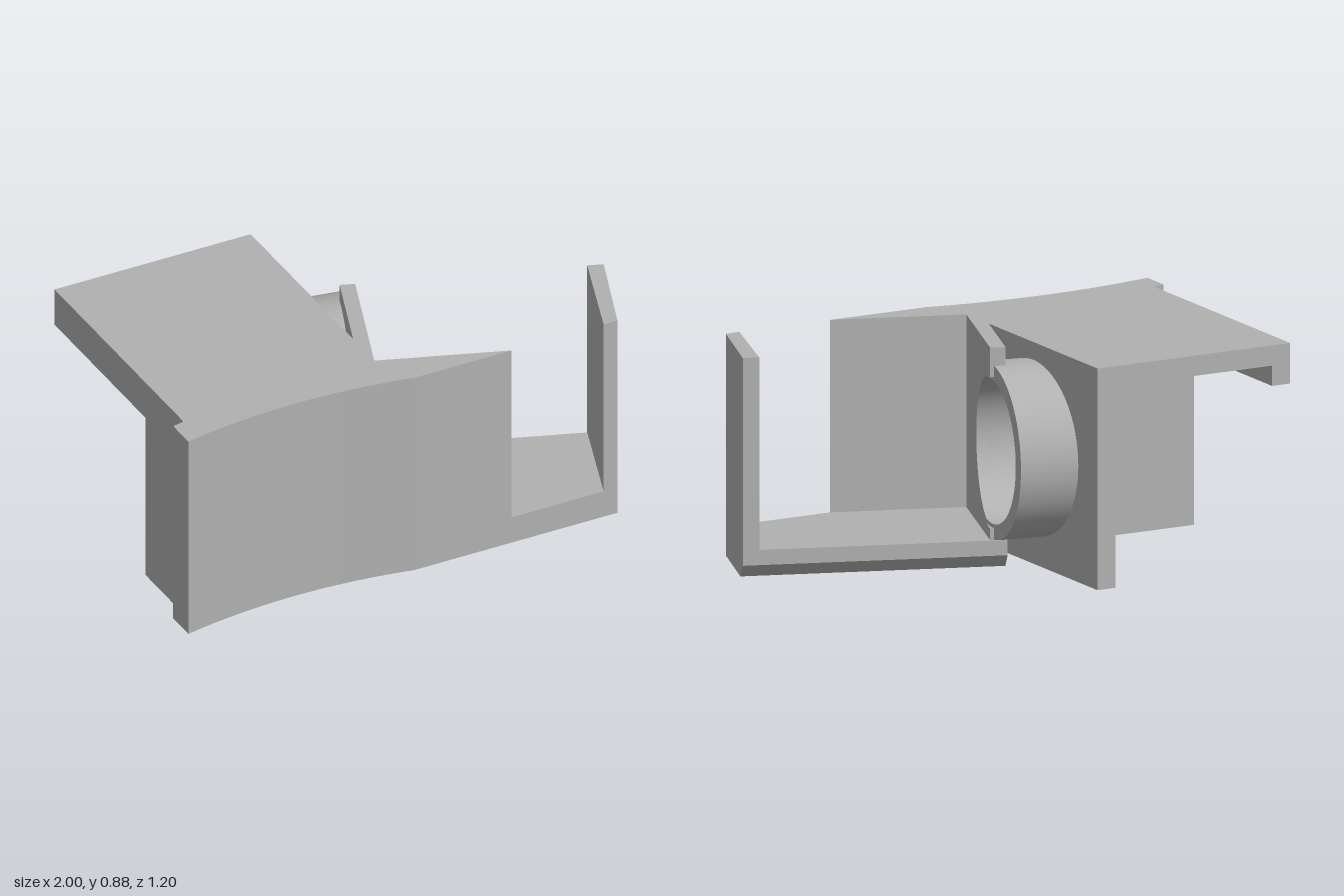
import * as THREE from 'three';
import { ParametricGeometry } from 'three/addons/geometries/ParametricGeometry.js';

const H = 0.875; // overall height
const FLOOR = 0.115; // tray floor thickness
const CHAMFER = 0.055;
const R_IN = 0.285, R_OUT = 0.345, MID_Y = 0.46;
const DEG = Math.PI / 180;

export function createModel() {
  const model = new THREE.Group();
  model.name = 'bracket';
  const grey = new THREE.MeshStandardMaterial({ color: 0xb0b0b0 });
  grey.name = 'plain grey';

  function add(name, geometry) {
    const mesh = new THREE.Mesh(geometry, grey);
    mesh.name = name;
    model.add(mesh);
    return mesh;
  }

  // Upright prism from a plan outline given as [x, z] points
  function planShape(points) {
    return new THREE.Shape(points.map(([x, z]) => new THREE.Vector2(x, -z)));
  }
  function prism(shape, y0, y1) {
    const g = new THREE.ExtrudeGeometry(shape, { depth: y1 - y0, bevelEnabled: false, curveSegments: 16 });
    return g.rotateX(-Math.PI / 2).translate(0, y0, 0);
  }

  // Vertical panel drawn in (length, height), thickened and turned into place
  function panel(shape, thickness, x, z, angle) {
    const g = new THREE.ExtrudeGeometry(shape, { depth: thickness, bevelEnabled: false, curveSegments: 48 });
    return g.rotateY(angle).translate(x, 0, z);
  }

  function box(name, x0, x1, y0, y1, z0, z1) {
    const g = new THREE.BoxGeometry(x1 - x0, y1 - y0, z1 - z0);
    add(name, g.translate((x0 + x1) / 2, (y0 + y1) / 2, (z0 + z1) / 2));
  }

  // Front body with a shallow concave face and a small side lip
  const body = new THREE.Shape();
  body.moveTo(-1, -0.6);
  body.quadraticCurveTo(-0.51, -0.5, -0.02, -0.6);
  for (const [x, z] of [[0.4, 0.6], [-0.1, 0.42], [-0.18, 0.42], [-0.18, 0.15],
    [-0.95, 0.15], [-0.95, 0.465], [-1, 0.475]]) body.lineTo(x, -z);
  add('frontBody', prism(body, 0, H));

  // Overhanging roof with a downturned edge
  box('roof', -0.95, -0.1, 0.795, H, -0.6, 0.16);
  box('roofLip', -0.95, -0.87, 0.715, 0.795, -0.6, 0.16);

  // Cross plate pierced by the bore
  const plate = new THREE.Shape();
  plate.moveTo(-0.6, 0);
  plate.lineTo(0.42, 0);
  plate.lineTo(0.42, H);
  plate.lineTo(-0.6, H);
  const hole = new THREE.Path();
  hole.absarc(-0.107, MID_Y, 0.3, 0, Math.PI * 2, true);
  plate.holes.push(hole);
  add('crossPlate', panel(plate, 0.08, -0.1, 0, -90 * DEG));

  // Angled tray floor; its lower slice tapers in at the back edge
  const floor = [[-0.1, 0.42], [0.4, 0.6], [0.86, 0.6], [1, 0.22], [0.03, -0.13], [-0.1, 0.225]];
  add('trayFloor', prism(planShape(floor), CHAMFER, FLOOR));
  const lower = prism(planShape(floor), 0, CHAMFER);
  const p = lower.attributes.position;
  for (let i = 0; i < p.count; i++) {
    const x = p.getX(i), z = p.getZ(i);
    const onBack = Math.abs(z + 0.13 - (x - 0.03) * 0.3608) < 0.02;
    if (onBack && p.getY(i) < 0.01) p.setXYZ(i, x - 0.019, 0, z + 0.052);
  }
  lower.computeVertexNormals();
  add('trayFloorChamfer', lower);

  // Outer end wall of the tray
  add('trayEndWall', prism(planShape([[0.94, 0.198], [0.8, 0.6], [0.86, 0.6], [1, 0.22]]), FLOOR, H));

  // Inner tray wall, notched round the bore
  const notchR = 0.3, notchU = 0.032;
  const a = Math.acos(-notchU / notchR);
  const wall = new THREE.Shape();
  wall.moveTo(0, CHAMFER);
  wall.lineTo(0.553, CHAMFER);
  wall.lineTo(0.553, H);
  wall.lineTo(0, H);
  wall.lineTo(0, MID_Y + notchR * Math.sin(a));
  wall.absarc(notchU, MID_Y, notchR, a, -a, true);
  wall.lineTo(0, CHAMFER);
  add('trayInnerWall', panel(wall, 0.06, 0.09, -0.1, -110 * DEG));

  // Tilted collar, trimmed by the cross plate and the inner tray wall
  const axis = new THREE.Vector3(Math.cos(10 * DEG), 0, Math.sin(10 * DEG));
  const side = new THREE.Vector3(-axis.z, 0, axis.x);
  const centre = new THREE.Vector3(0.07, MID_Y, -0.07);
  const wallPoint = new THREE.Vector3(0.09, MID_Y, -0.1);
  const wallNormal = new THREE.Vector3(Math.cos(20 * DEG), 0, Math.sin(20 * DEG));
  function collarPoint(r, atEnd, angle) {
    const q = centre.clone().addScaledVector(side, r * Math.cos(angle));
    q.y += r * Math.sin(angle);
    const toWall = wallPoint.clone().sub(q).dot(wallNormal) / axis.dot(wallNormal);
    const t = atEnd ? Math.min(0, toWall) : (-0.18 - q.x) / axis.x;
    return q.addScaledVector(axis, t);
  }
  const rings = [[R_IN, false], [R_IN, true], [R_OUT, true], [R_OUT, false], [R_IN, false]];
  const names = ['collarBore', 'collarRim', 'collarOutside', 'collarBase'];
  names.forEach((name, i) => {
    const [rA, endA] = rings[i], [rB, endB] = rings[i + 1];
    add(name, new ParametricGeometry((u, v, target) => {
      const angle = u * Math.PI * 2;
      target.lerpVectors(collarPoint(rA, endA, angle), collarPoint(rB, endB, angle), v);
    }, 72, 1));
  });

  return model;
}
